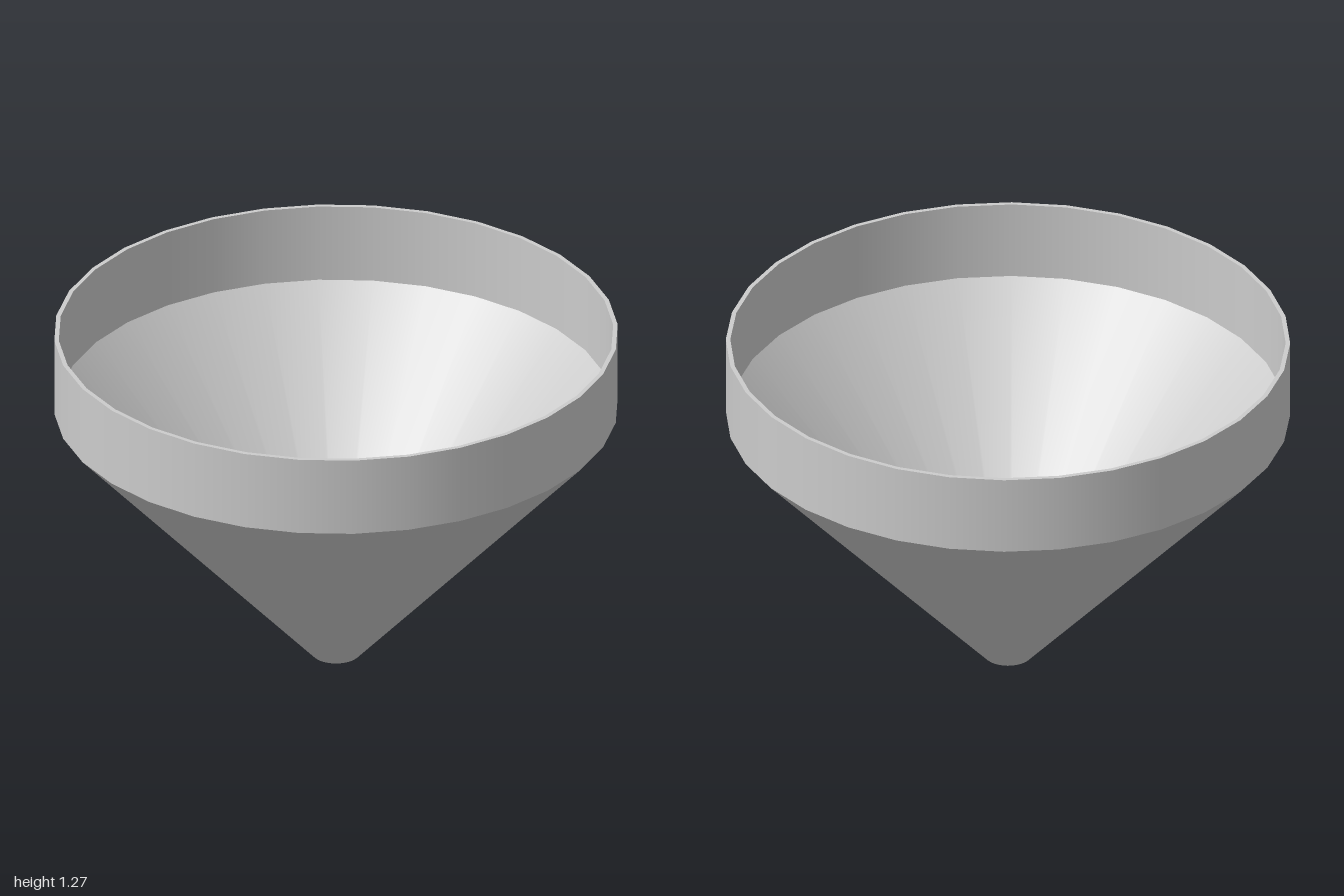
import * as THREE from 'three';

const SIDES = 32;

// Closed wall section, counter-clockwise: each edge becomes one crisp-edged band
const outerBottom = [0.085, 0], outerFold = [1, 0.982], outerTop = [1, 1.273];
const innerTop = [0.984, 1.273], innerFold = [0.984, 0.982], innerBottom = [0.077, 0];

export function createModel() {
  const model = new THREE.Group();
  model.name = 'funnel';
  const material = new THREE.MeshStandardMaterial({ color: 0xcccccc });

  // Revolve one straight edge of the section, smooth around the axis
  const band = (parent, name, from, to) => {
    const points = [from, to].map(([r, y]) => new THREE.Vector2(r, y));
    const mesh = new THREE.Mesh(new THREE.LatheGeometry(points, SIDES), material);
    mesh.name = name;
    parent.add(mesh);
  };

  // Tapered cone, open at the spout
  const cone = new THREE.Group();
  cone.name = 'cone';
  band(cone, 'coneOutside', outerBottom, outerFold);
  band(cone, 'coneInside', innerFold, innerBottom);
  band(cone, 'spoutLip', innerBottom, outerBottom);

  // Upright collar around the mouth
  const collar = new THREE.Group();
  collar.name = 'collar';
  band(collar, 'collarOutside', outerFold, outerTop);
  band(collar, 'collarLip', outerTop, innerTop);
  band(collar, 'collarInside', innerTop, innerFold);

  model.add(cone, collar);
  return model;
}
